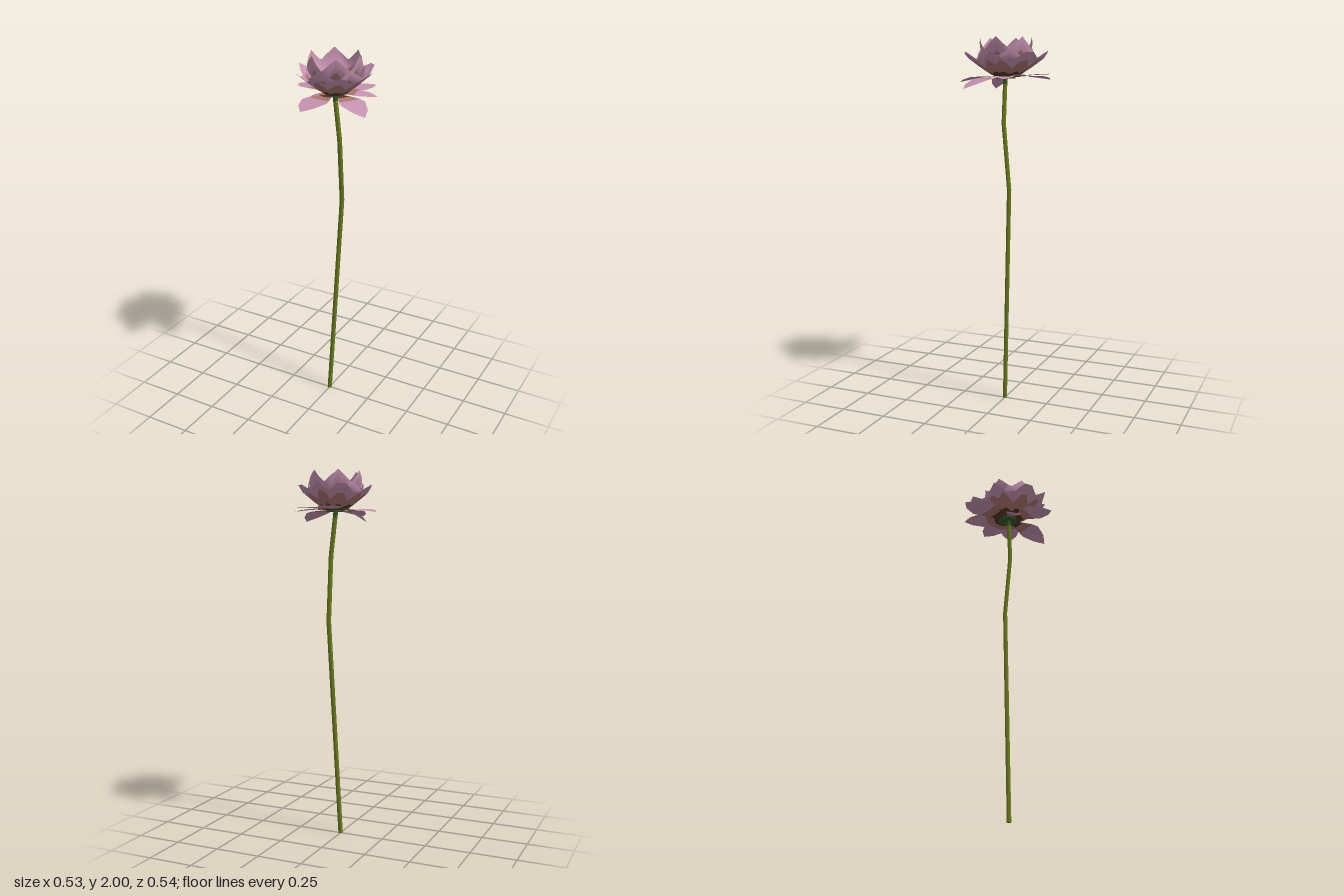
import * as THREE from 'three';

function material(name, color, side = THREE.FrontSide) {
  const m = new THREE.MeshStandardMaterial({ color, side });
  m.name = name;
  return m;
}
const pink = material('petal pink', 0xc592b0, THREE.DoubleSide);
const blush = material('blush brown', 0xab7470, THREE.DoubleSide);
const dark = material('dark petal base', 0x4f3626, THREE.DoubleSide);
const green = material('stem green', 0x6b7a22);
const darkGreen = material('calyx green', 0x35592a);

const CX = 0.022, CZ = -0.015; // flower axis

// Sheet from columns of points, with one material for each band between rows
function sheet(name, columns, bands, closed) {
  const rows = columns[0].length, n = columns.length;
  const geo = new THREE.BufferGeometry();
  geo.setAttribute('position', new THREE.Float32BufferAttribute(columns.flat(2), 3));
  const index = [];
  bands.forEach((band, j) => {
    const start = index.length;
    for (let i = 0; i < (closed ? n : n - 1); i++) {
      const a = i * rows + j, b = ((i + 1) % n) * rows + j;
      index.push(a, a + 1, b, b, a + 1, b + 1);
    }
    geo.addGroup(start, index.length - start, j);
  });
  geo.setIndex(index);
  geo.computeVertexNormals();
  const mesh = new THREE.Mesh(geo, bands);
  mesh.name = name;
  return mesh;
}

// Ring of joined petals. Rim points: [x, z, y, height share below the pink]
function cup(name, rim, r0, y0, curve, base) {
  const columns = rim.map(([x, z, y, b]) => {
    const R = Math.hypot(x, z), col = [];
    for (let j = 0; j <= 6; j++) {
      const s = j <= 3 ? b * j / 3 : b + (1 - b) * (j - 3) / 3;
      const r = r0 + (R - r0) * curve(s);
      col.push([CX + x / R * r, y0 + (y - y0) * s, CZ + z / R * r]);
    }
    return col;
  });
  return sheet(name, columns, [base, blush, blush, pink, pink, pink], true);
}

// Six-pointed rim for the upright petals; blush dips between the side petals
function pointedRim(offset, radius, low, high) {
  const rim = [];
  for (let i = 0; i < 24; i++) {
    const a = i / 24 * Math.PI * 2;
    const d = Math.abs(((i + offset) % 4) - 2) / 2; // 1 on a tip, 0 in a valley
    const r = radius - 0.005 * d;
    const b = 0.62 - 0.22 * (1 - d) * Math.abs(Math.cos(a));
    rim.push([Math.cos(a) * r, Math.sin(a) * r, low + (high - low) * d, b]);
  }
  return rim;
}

// Loose petal lying outward under the cups
function loosePetal([x, y, z]) {
  const dx = x - CX, dz = z - CZ, len = Math.hypot(dx, dz);
  const ux = dx / len, uz = dz / len;
  const outline = [[0.1, 0.05], [0.3, 0.13], [0.48, 0.22], [0.61, 0.26], [0.84, 0.165], [1, 0]];
  const columns = [-1, 0, 1].map(side => outline.map(([s, w]) => {
    const o = side * w * len;
    const h = 1.788 + (y - 1.788) * s * s + 0.009 * Math.sin(s * Math.PI) + 0.004 * Math.abs(side) * w / 0.26;
    return [CX + ux * s * len - uz * o, h, CZ + uz * s * len + ux * o];
  }));
  return sheet('loosePetal', columns, [dark, blush, pink, pink, pink], false);
}

// Round rod along straight pieces
function rod(name, coords, mat) {
  const points = coords.map(p => new THREE.Vector3(...p));
  const path = new THREE.CurvePath();
  for (let i = 1; i < points.length; i++) path.add(new THREE.LineCurve3(points[i - 1], points[i]));
  const mesh = new THREE.Mesh(new THREE.TubeGeometry(path, 60, 0.0125, 6), mat);
  mesh.name = name;
  return mesh;
}

export function createModel() {
  const model = new THREE.Group();
  model.name = 'flower';

  // Bent stem with a darker neck
  const neck = [0.0265, 1.755, -0.012];
  model.add(rod('stem', [[0, 0, 0], [0.05, 1.2, -0.045], [0.05, 1.55, -0.014], neck], green));
  model.add(rod('stemNeck', [neck, [0.022, 1.795, -0.012]], darkGreen));
  const stemEnd = new THREE.Mesh(new THREE.CircleGeometry(0.0125, 6).rotateX(Math.PI / 2), green);
  stemEnd.name = 'stemEnd';
  stemEnd.position.y = 0.001;
  model.add(stemEnd);

  // Heart that carries the petals: green above, dark below
  const heart = new THREE.Mesh(new THREE.CylinderGeometry(0.057, 0.053, 0.034, 8), [darkGreen, green, darkGreen]);
  heart.name = 'flowerHeart';
  heart.position.set(CX, 1.803, CZ);
  model.add(heart);

  // Upright inner petals
  const bowl = s => Math.sin(s * Math.PI / 2);
  model.add(cup('innerPetals', pointedRim(0, 0.142, 1.935, 2.0), 0.055, 1.815, bowl, blush));
  model.add(cup('middlePetals', pointedRim(2, 0.152, 1.89, 1.94), 0.056, 1.805, bowl, blush));

  // Spreading outer petals: one quarter of the rim, mirrored round
  const quarter = [
    [0.211, 0, 1.925, 0.5], [0.18, 0.037, 1.9, 0.82], [0.155, 0.057, 1.88, 0.88], [0.142, 0.107, 1.885, 0.5],
    [0.139, 0.165, 1.92, 0.64], [0.104, 0.195, 1.92, 0.68], [0.048, 0.195, 1.89, 0.55],
    [0.024, 0.2155, 1.91, 0.74], [0, 0.236, 1.93, 0.74],
  ];
  const half = [...quarter, ...quarter.slice(0, -1).reverse().map(([x, z, y, b]) => [-x, z, y, b])];
  const rim = [...half, ...half.slice(1, -1).reverse().map(([x, z, y, b]) => [x, -z, y, b])];
  model.add(cup('outerPetals', rim, 0.05, 1.793, s => Math.pow(s, 0.85), dark));

  // Drooping loose petals, given by their tips
  const tips = [
    [-0.265, 1.778, -0.158], [-0.04, 1.81, -0.271], [0.15, 1.805, -0.227], [0.227, 1.785, -0.087],
    [0.262, 1.735, 0.121], [-0.016, 1.765, 0.271], [-0.11, 1.73, 0.1],
  ];
  for (const tip of tips) model.add(loosePetal(tip));

  return model;
}
